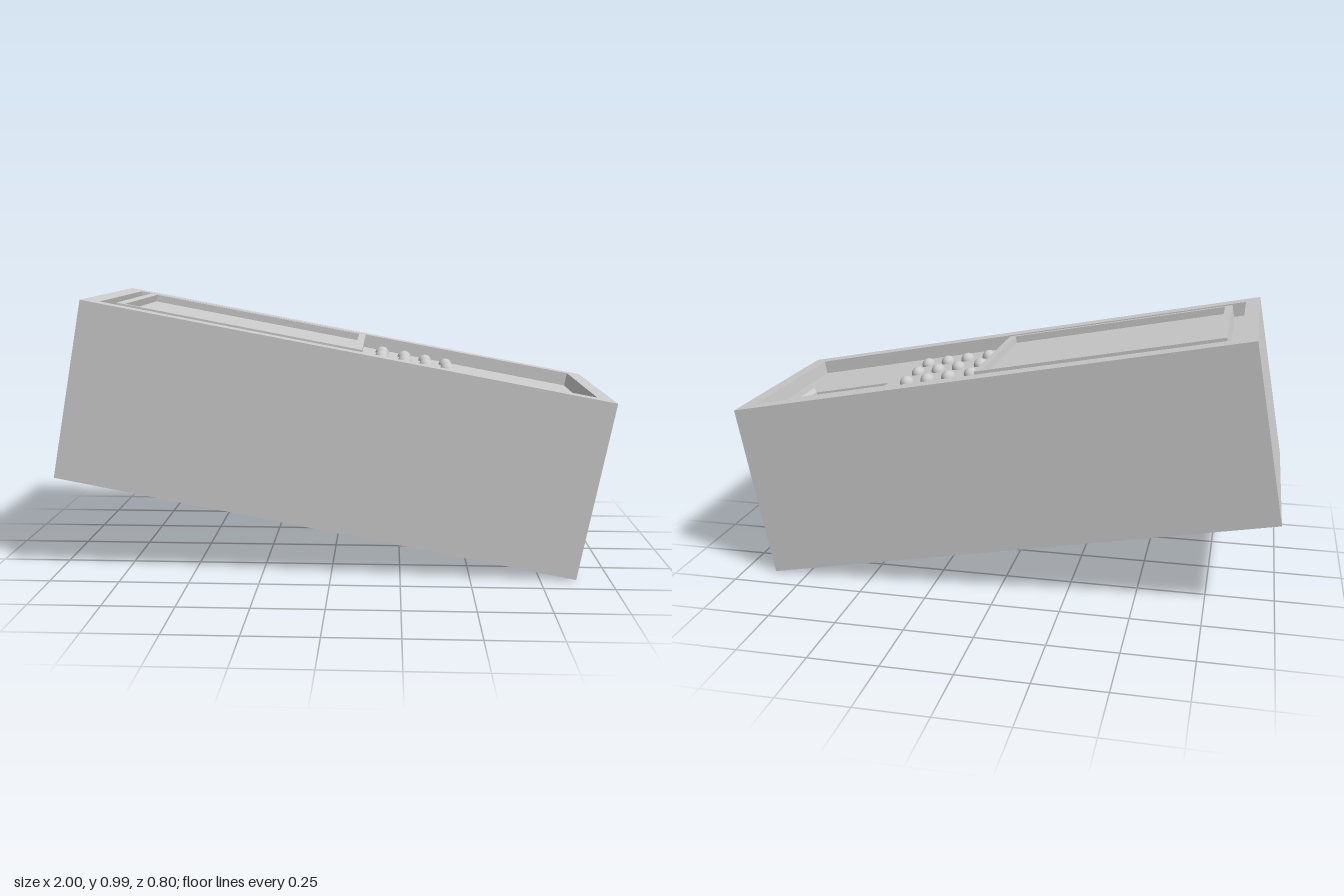
import * as THREE from 'three';

const TILT = -0.1863;
const TOP = 0.3255;    // rim height in the tilted frame
const FLOOR = 0.2735;  // recessed panel height
const grey = new THREE.MeshStandardMaterial({ color: 0xcccccc });

// Skin a series of rectangles [x0, x1, z0, z1, y], running up the outside then
// inwards and down into the recesses; the last one is always capped.
function rectLoft(rects, capStart) {
  const rings = rects.map(([x0, x1, z0, z1, y]) =>
    [[x0, y, z1], [x1, y, z1], [x1, y, z0], [x0, y, z0]]);
  const pos = [];
  const quad = (a, b, c, d) => pos.push(...a, ...b, ...c, ...a, ...c, ...d);
  for (let r = 0; r < rings.length - 1; r++) {
    const A = rings[r], B = rings[r + 1];
    for (let i = 0; i < 4; i++) {
      const j = (i + 1) % 4;
      quad(A[i], A[j], B[j], B[i]);
    }
  }
  quad(...rings[rings.length - 1]);
  if (capStart) quad(...[...rings[0]].reverse());
  const geo = new THREE.BufferGeometry();
  geo.setAttribute('position', new THREE.Float32BufferAttribute(pos, 3));
  geo.computeVertexNormals();
  return geo;
}

function addMesh(parent, name, geo) {
  const mesh = new THREE.Mesh(geo, grey);
  mesh.name = name;
  parent.add(mesh);
  return mesh;
}

export function createModel() {
  const model = new THREE.Group();
  model.name = 'tiltedConsole';
  model.position.y = 0.5;
  model.rotation.z = TILT;

  // Case: block, rim, recessed panel, bevelled slot and its inner well
  addMesh(model, 'case', rectLoft([
    [-0.9565, 0.9565, -0.4, 0.4, -TOP],
    [-0.9565, 0.9565, -0.4, 0.4, TOP],
    [-0.902, 0.896, -0.335, 0.335, TOP],
    [-0.902, 0.896, -0.335, 0.335, FLOOR],
    [0.483, 0.843, -0.073, 0.068, FLOOR],
    [0.494, 0.832, -0.058, 0.053, FLOOR - 0.016],
    [0.5, 0.826, -0.046, 0.041, FLOOR - 0.016],
    [0.5, 0.826, -0.046, 0.041, FLOOR - 0.05],
  ], true));

  // Screen: raised frame with a sunken display
  const frameTop = TOP + 0.003;
  addMesh(model, 'screen', rectLoft([
    [-0.852, 0.048, -0.295, 0.295, FLOOR],
    [-0.852, 0.048, -0.295, 0.295, frameTop],
    [-0.824, 0.021, -0.277, 0.277, frameTop],
    [-0.824, 0.021, -0.277, 0.277, frameTop - 0.027],
  ], false));

  // Keypad: four by four domed buttons
  const keypad = new THREE.Group();
  keypad.name = 'keypad';
  model.add(keypad);
  const dome = new THREE.SphereGeometry(1, 24, 10, 0, Math.PI * 2, 0, Math.PI / 2);
  for (const x of [0.127, 0.218, 0.303, 0.387]) {
    for (const z of [-0.223, -0.081, 0.068, 0.21]) {
      const button = addMesh(keypad, 'button', dome);
      button.position.set(x, FLOOR, z);
      button.scale.set(0.027, 0.028, 0.031);
    }
  }

  const root = new THREE.Group();
  root.add(model);
  return root;
}
